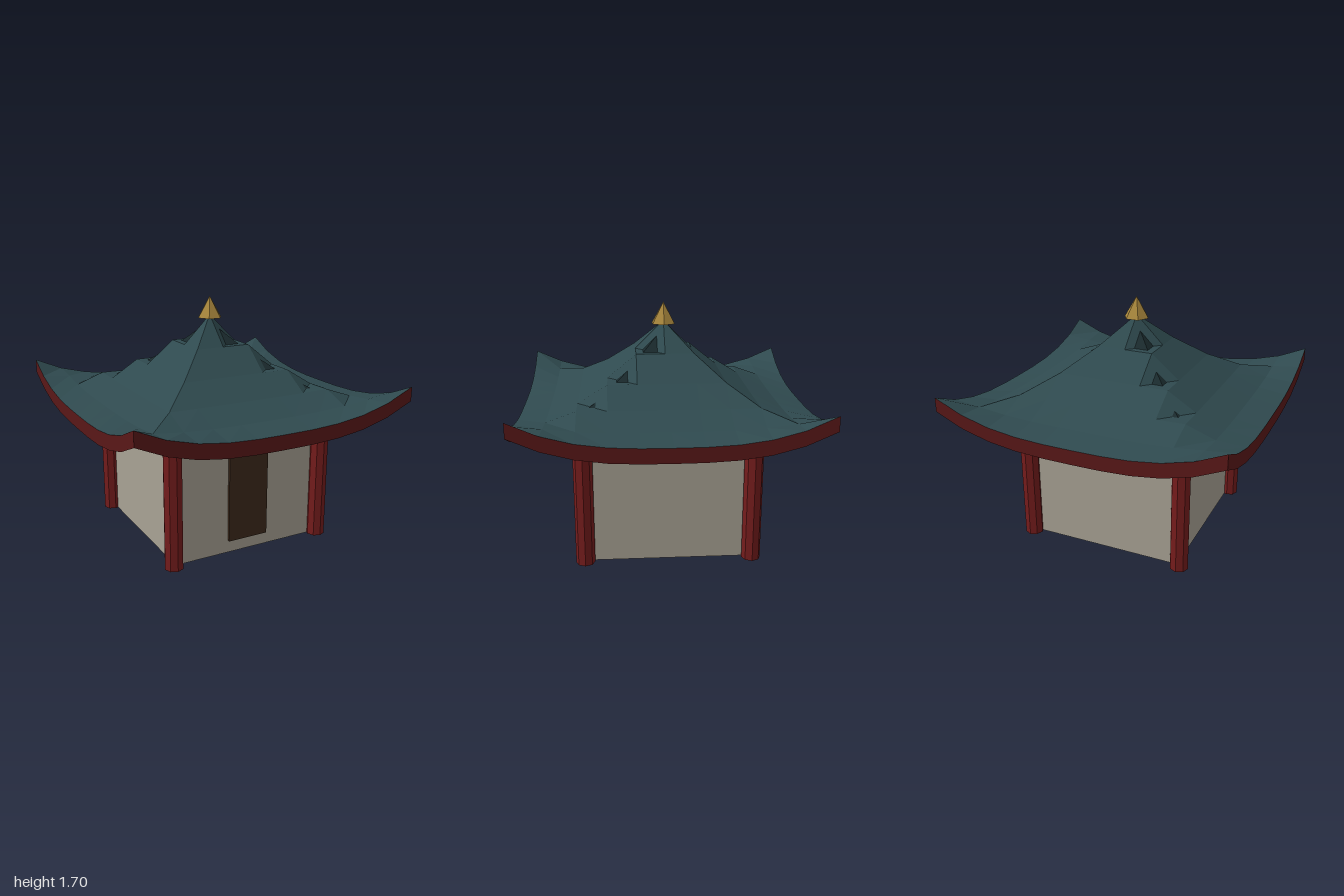
import * as THREE from 'three';

const RED = 0x751c1c, GOLD = 0xa8863c;

function mat(color, side = THREE.FrontSide) {
  return new THREE.MeshStandardMaterial({ color, side, flatShading: true });
}

// Curved pyramid roof height with upswept corners
function roofHeight(x, z) {
  const d = Math.max(Math.abs(x), Math.abs(z));
  const m = Math.min(Math.abs(x), Math.abs(z));
  return 0.97 + 0.6 * Math.pow(Math.max(0, 1 - d), 1.8) + 0.18 * m ** 3 * d ** 4;
}

// Grid sheet draped over the roof curve, facing up or down
function roofSheet(facing, drop) {
  const g = new THREE.PlaneGeometry(2, 2, 10, 10).rotateX(-facing * Math.PI / 2);
  const p = g.attributes.position;
  for (let i = 0; i < p.count; i++) p.setY(i, roofHeight(p.getX(i), p.getZ(i)) - drop);
  g.computeVertexNormals();
  return g;
}

// Upright band that follows one eave
function eaveBand() {
  const g = new THREE.PlaneGeometry(2, 0.1, 10, 1);
  const p = g.attributes.position;
  for (let i = 0; i < p.count; i++) {
    const x = p.getX(i);
    p.setXYZ(i, x, roofHeight(x, 1) - (p.getY(i) > 0 ? 0 : 0.1), 1);
  }
  g.computeVertexNormals();
  return g;
}

export function createModel() {
  const model = new THREE.Group();
  model.name = 'pavilion';

  function add(name, geometry, material, x = 0, y = 0, z = 0) {
    const mesh = new THREE.Mesh(geometry, material);
    mesh.name = name;
    mesh.position.set(x, y, z);
    model.add(mesh);
    return mesh;
  }

  // Walls and door
  add('walls', new THREE.BoxGeometry(1.1, 0.91, 1.1), mat(0xa8a294), 0, 0.455, 0);
  add('door', new THREE.BoxGeometry(0.3, 0.64, 0.03), mat(0x3e2a1c), 0, 0.41, 0.555);

  // Corner columns
  const red = mat(RED);
  const columnGeo = new THREE.CylinderGeometry(0.065, 0.065, 0.915, 8);
  for (const x of [-1, 1]) for (const z of [-1, 1]) {
    add('column', columnGeo, red, x * 0.572, 0.4575, z * 0.572);
  }

  // Beams between the columns, and eave bands
  const beamGeo = new THREE.BoxGeometry(1.14, 0.1, 0.07);
  const bandGeo = eaveBand();
  const bandMat = mat(0x5a1818, THREE.DoubleSide);
  for (let i = 0; i < 4; i++) {
    const a = i * Math.PI / 2;
    add('beam', beamGeo, red, Math.sin(a) * 0.57, 0.87, Math.cos(a) * 0.57).rotation.y = a;
    add('eaveBand', bandGeo, bandMat).rotation.y = a;
  }

  // Gilded plate under the roof
  add('eavePlate', new THREE.BoxGeometry(1.4, 0.045, 1.4), mat(GOLD), 0, 0.942, 0);

  // Roof skin and its dark soffit
  add('roof', roofSheet(1, 0), mat(0x2f4a4f, THREE.DoubleSide));
  add('roofUnderside', roofSheet(-1, 0.05), mat(0x1a2a2d, THREE.DoubleSide));

  // Finial
  add('finial', new THREE.ConeGeometry(0.09, 0.15, 6), mat(GOLD), 0, 1.625, 0).rotation.y = Math.PI / 2;

  return model;
}
